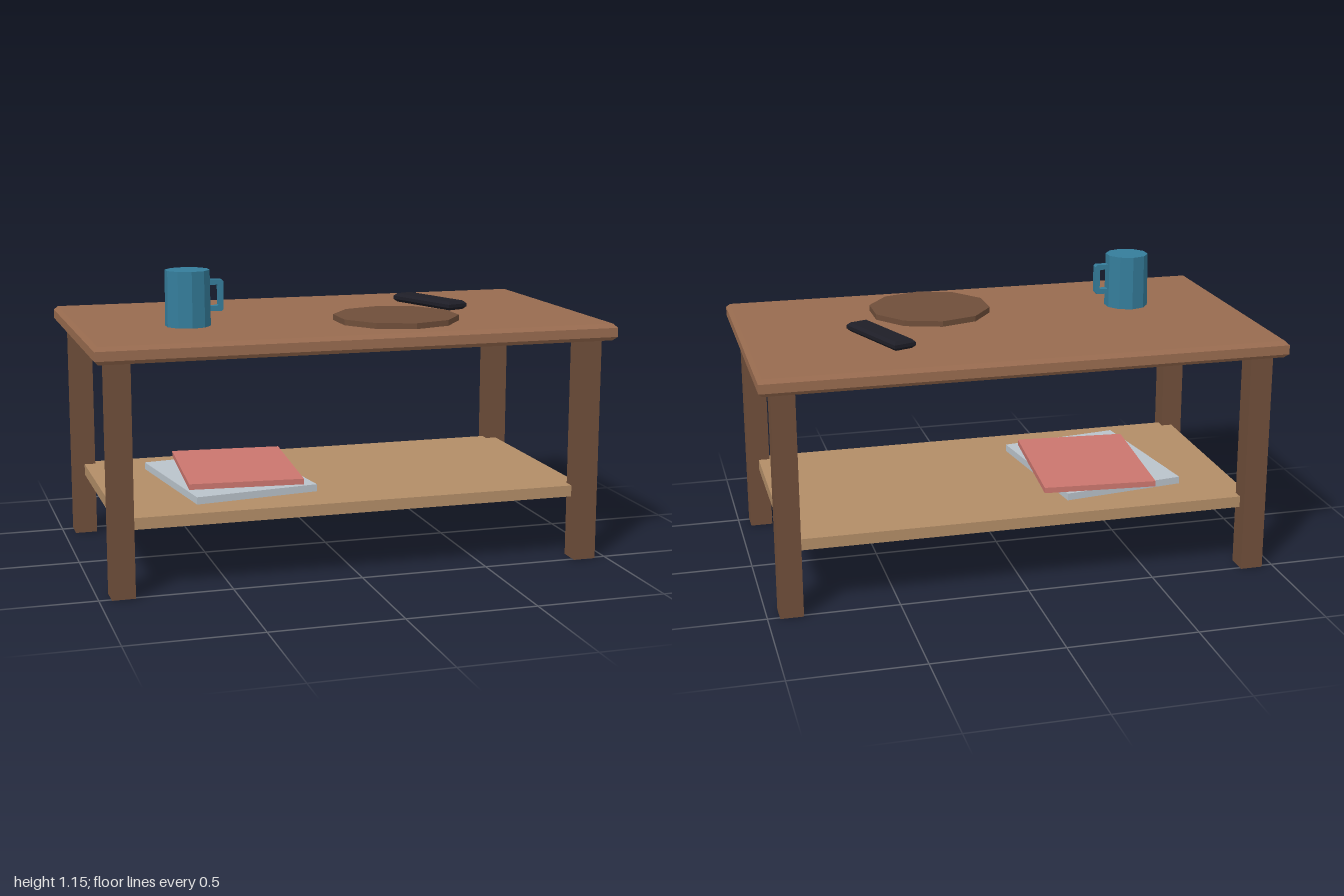
import * as THREE from 'three';

const mat = (name, color) => {
  const m = new THREE.MeshStandardMaterial({ color, flatShading: true });
  m.name = name;
  return m;
};

// Box with every horizontal edge chamfered, resting on y = 0
function chamferBox(w, h, d, c) {
  const x = w / 2 - c, z = d / 2 - c;
  const shape = new THREE.Shape([
    new THREE.Vector2(-x, -z), new THREE.Vector2(x, -z),
    new THREE.Vector2(x, z), new THREE.Vector2(-x, z),
  ]);
  const g = new THREE.ExtrudeGeometry(shape, {
    depth: h - 2 * c, bevelEnabled: true, bevelSize: c, bevelThickness: c, bevelSegments: 1,
  });
  g.translate(0, 0, c);
  g.rotateX(-Math.PI / 2);
  return g;
}

// Plain box resting on y = 0
const slab = (w, h, d) => new THREE.BoxGeometry(w, h, d).translate(0, h / 2, 0);

export function createModel() {
  const model = new THREE.Group();
  model.name = 'coffeeTable';

  const wood = mat('tabletopWood', 0x986b4f);
  const darkWood = mat('darkWood', 0x6f4e3a);
  const paleWood = mat('paleWood', 0xb28d67);
  const blue = mat('blueGlaze', 0x357d9b);
  const black = mat('blackPlastic', 0x1e1e27);
  const grey = mat('greyPaper', 0xbac3cb);
  const red = mat('redPaper', 0xcb766e);

  const add = (name, geometry, material, x, y, z, turn = 0, parent = model) => {
    const mesh = new THREE.Mesh(geometry, material);
    mesh.name = name;
    mesh.position.set(x, y, z);
    mesh.rotation.y = turn;
    parent.add(mesh);
    return mesh;
  };

  // Table: top, four legs, and a shelf reaching to the leg centres
  const topY = 0.935;
  add('tabletop', chamferBox(2, 0.065, 1.11, 0.015), wood, 0, 0.87, 0);
  const legGeometry = slab(0.088, 0.872, 0.088);
  for (const sx of [-1, 1]) {
    for (const sz of [-1, 1]) {
      add(`${sz > 0 ? 'front' : 'back'}${sx > 0 ? 'Left' : 'Right'}Leg`,
        legGeometry, darkWood, sx * 0.91, 0, sz * 0.468);
    }
  }
  add('shelf', slab(1.82, 0.044, 0.936), paleWood, 0, 0.246, 0);

  // Magazines on the shelf
  add('lowerMagazine', slab(0.49, 0.028, 0.62), grey, -0.4, 0.29, 0.002, 0.14);
  add('upperMagazine', slab(0.444, 0.022, 0.577), red, -0.36, 0.318, -0.043, -0.083);

  // Round tray and remote control on the tabletop
  add('tray', new THREE.CylinderGeometry(0.243, 0.243, 0.022, 10), darkWood, 0.22, topY + 0.011, 0.22);
  add('remoteControl', chamferBox(0.092, 0.035, 0.354, 0.011), black, 0.487, topY, -0.139, 0.355);

  // Mug with a chamfered C-shaped handle
  const mug = new THREE.Group();
  mug.name = 'mug';
  mug.position.set(-0.58, topY, 0.131);
  model.add(mug);
  add('mugBody', new THREE.CylinderGeometry(0.085, 0.087, 0.212, 10), blue, 0, 0.106, 0, 0, mug);
  const profile = [
    [0.07, 0.053], [0.128, 0.053], [0.135, 0.06], [0.135, 0.166], [0.128, 0.173], [0.07, 0.173],
    [0.07, 0.153], [0.112, 0.153], [0.116, 0.149], [0.116, 0.077], [0.112, 0.073], [0.07, 0.073],
  ];
  const handle = new THREE.ExtrudeGeometry(
    new THREE.Shape(profile.map(([x, y]) => new THREE.Vector2(x, y))),
    { depth: 0.03, bevelEnabled: false });
  add('mugHandle', handle, blue, 0, 0, -0.013, 0, mug);

  return model;
}
